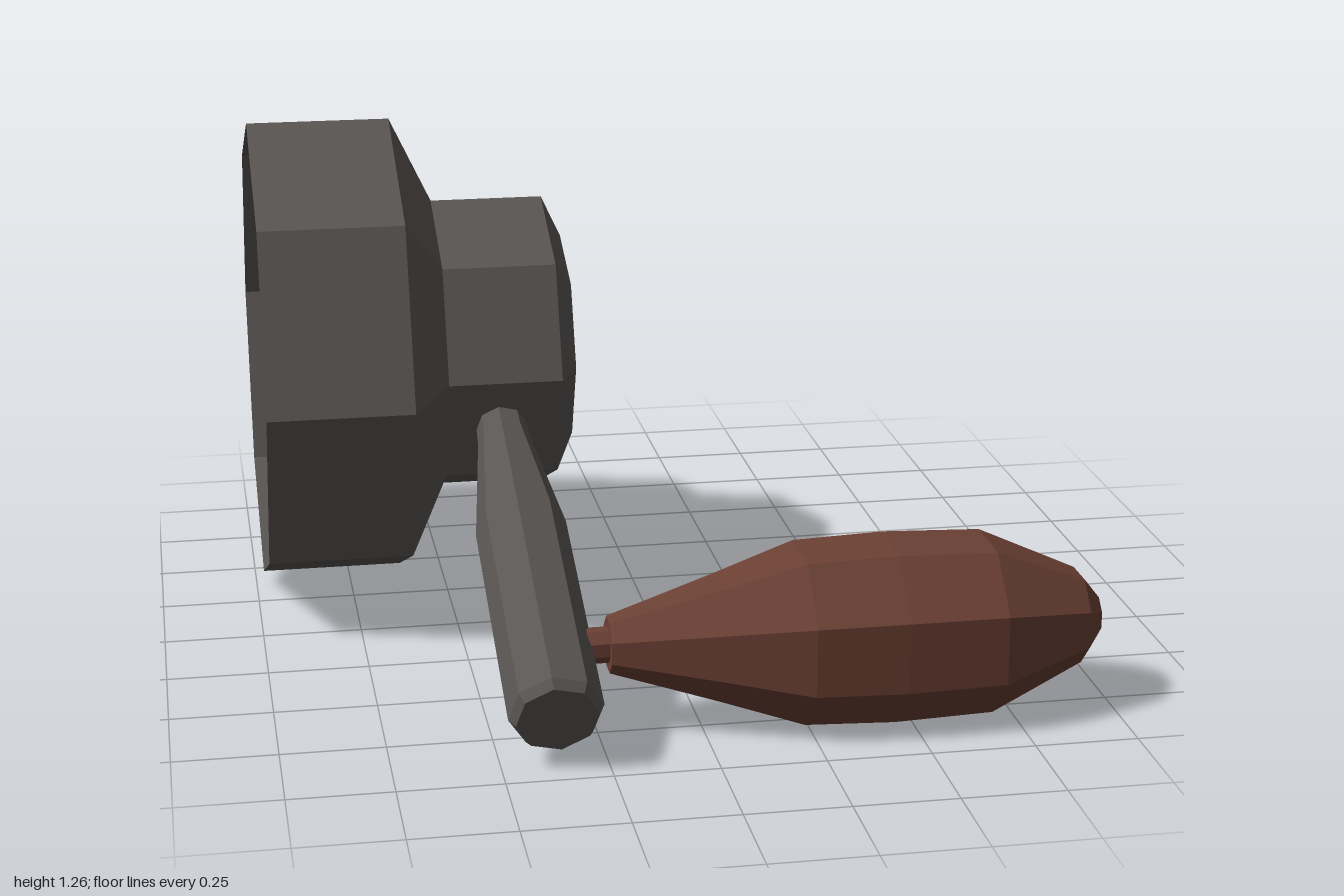
import * as THREE from 'three';

const SIDES = 8;

// Eight-sided turned part; profile is [radius, height] from bottom to top
function turned(name, profile, material, phase = 0) {
  const points = profile.map(([r, h]) => new THREE.Vector2(r, h));
  const mesh = new THREE.Mesh(new THREE.LatheGeometry(points, SIDES, phase), material);
  mesh.name = name;
  return mesh;
}

export function createModel() {
  const model = new THREE.Group();
  model.name = 'handCrank';

  const metal = new THREE.MeshStandardMaterial({
    color: 0x5a5654, flatShading: true, side: THREE.DoubleSide,
  });
  const wood = new THREE.MeshStandardMaterial({
    color: 0x6b4034, flatShading: true, side: THREE.DoubleSide,
  });

  // Stepped hub: a hollow shell, open at its wide end
  const hub = turned('hub', [
    [0.612, -0.98], [0.612, -0.615], [0.39, -0.51],
    [0.39, -0.22], [0.283, -0.17], [0, -0.17],
  ], metal);
  hub.rotation.z = -Math.PI / 2;
  hub.position.set(0, 0.648, -0.387);

  // Arm: leaves the hub radially, slopes down to the front and thickens
  const arm = turned('arm', [
    [0, 0.31], [0.062, 0.31], [0.067, 0.42], [0.112, 0.765],
    [0.112, 1.412], [0.097, 1.437], [0, 1.437],
  ], metal, 0.14);
  arm.rotation.x = Math.PI / 2 + 0.367;
  arm.position.set(-0.373, 0.648, -0.387);

  // Pin joining the arm to the grip
  const pin = turned('gripPin', [
    [0, -0.34], [0.043, -0.34], [0.043, -0.21], [0, -0.21],
  ], wood, Math.PI / 8);

  // Bulging grip
  const grip = turned('grip', [
    [0, -0.22], [0.068, -0.22], [0.152, 0.04], [0.22, 0.24], [0.228, 0.46],
    [0.22, 0.7], [0.115, 0.93], [0.052, 0.976], [0, 0.976],
  ], wood, Math.PI / 8);

  for (const part of [pin, grip]) {
    part.rotation.z = -Math.PI / 2;
    part.position.set(0, 0.214, 0.722);
  }

  model.add(hub, arm, pin, grip);
  return model;
}
